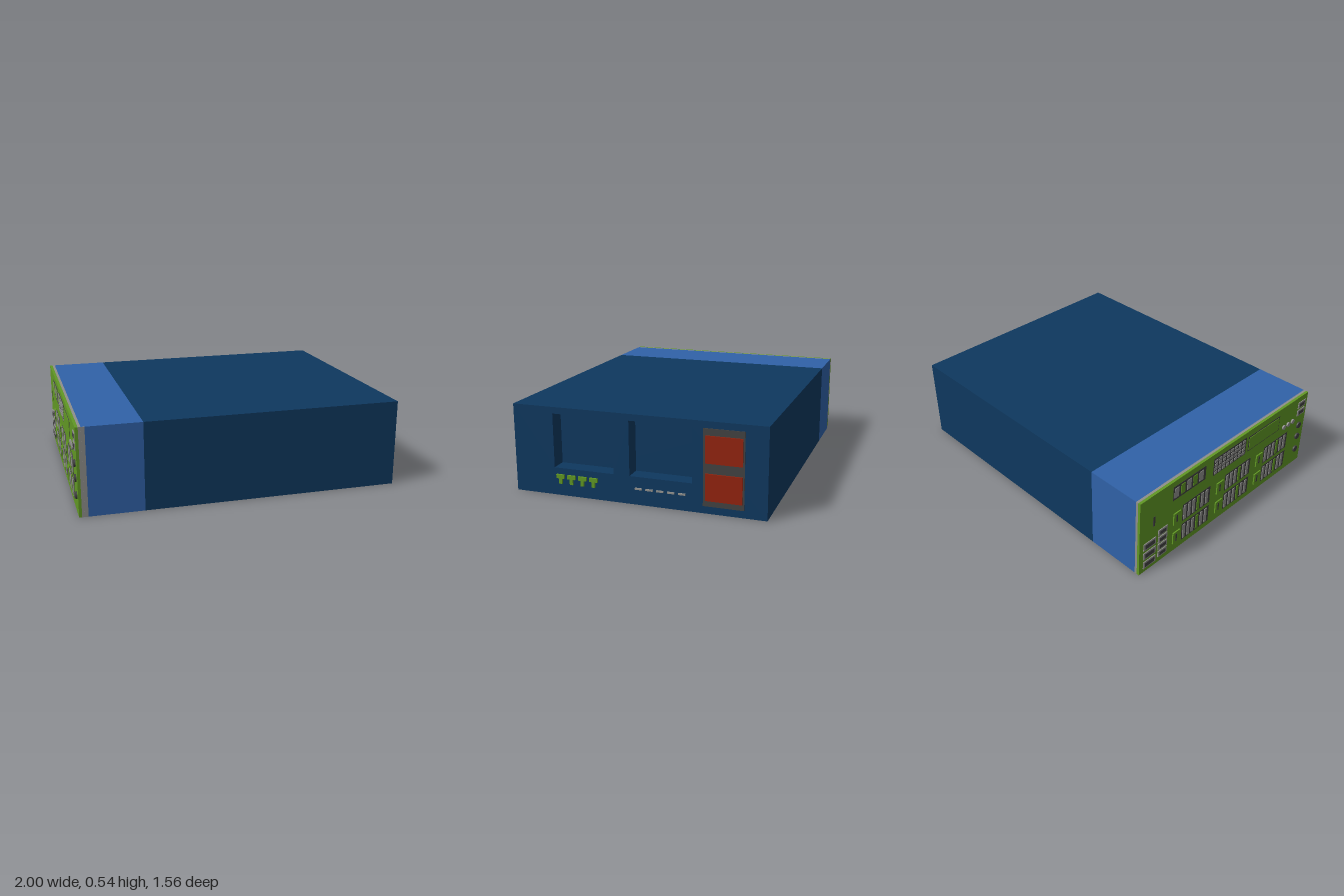
import * as THREE from 'three';

const mat = (name, color) => {
  const m = new THREE.MeshStandardMaterial({ color });
  m.name = name;
  return m;
};

export function createModel() {
  const root = new THREE.Group();
  root.name = 'serverUnit';
  const navy = mat('navyCase', 0x0e385f);
  const blue = mat('blueCase', 0x3062a8);
  const grey = mat('greyTrim', 0x8f8f8c);
  const green = mat('greenPanel', 0x619824);
  const dark = mat('darkGrey', 0x424242);
  const red = mat('redUnit', 0x93230e);
  const D = 0.777, H = 0.54;

  // Box given by its limits on each axis
  const box = (name, m, x0, x1, y0, y1, z0, z1, parent = root) => {
    const mesh = new THREE.Mesh(new THREE.BoxGeometry(x1 - x0, y1 - y0, z1 - z0), m);
    mesh.position.set((x0 + x1) / 2, (y0 + y1) / 2, (z0 + z1) / 2);
    mesh.name = name;
    parent.add(mesh);
    return mesh;
  };
  const group = (name) => {
    const g = new THREE.Group();
    g.name = name;
    root.add(g);
    return g;
  };

  // Case sections
  box('mainCase', navy, -0.605, 0.885, 0, H, -D, D);
  box('frontCase', blue, -0.957, -0.605, 0, H, -D, D);
  box('trimBand', grey, -0.973, -0.957, 0, H, -D, D);
  box('trimSideStrip', grey, -0.957, -0.936, 0, H, D - 0.002, D + 0.001);
  box('controlPanel', green, -0.99, -0.973, 0, H, -D, D);

  // Rear wall with two open fan pockets
  const wall = new THREE.Shape([
    new THREE.Vector2(-D, 0), new THREE.Vector2(D, 0),
    new THREE.Vector2(D, H), new THREE.Vector2(-D, H)]);
  for (const [z0, z1] of [[0.14, 0.52], [-0.34, 0.04]]) {
    wall.holes.push(new THREE.Path([
      new THREE.Vector2(-z1, 0.17), new THREE.Vector2(-z1, 0.5),
      new THREE.Vector2(-z0, 0.5), new THREE.Vector2(-z0, 0.17)]));
  }
  const rear = new THREE.Mesh(
    new THREE.ExtrudeGeometry(wall, { depth: 0.1, bevelEnabled: false }), navy);
  rear.rotation.y = Math.PI / 2;
  rear.position.x = 0.885;
  rear.name = 'rearWall';
  root.add(rear);

  // Power units
  const power = group('powerUnits');
  box('powerFrame', dark, 0.98, 0.99, 0.045, 0.5, -0.645, -0.405, power);
  for (const y of [0.08, 0.3]) box('powerModule', red, 0.985, 0.998, y, y + 0.16, -0.635, -0.42, power);

  // T-shaped rear latches and slots
  const rearBits = group('rearConnectors');
  for (let i = 0; i < 4; i++) {
    const z = 0.48 - i * 0.071;
    box('latchHead', green, 0.98, 0.997, 0.108, 0.132, z - 0.026, z + 0.026, rearBits);
    box('latchStem', green, 0.98, 0.997, 0.075, 0.108, z - 0.01, z + 0.01, rearBits);
  }
  for (let i = 0; i < 5; i++) {
    const z = -0.016 - i * 0.066;
    box('rearSlot', grey, 0.98, 0.994, 0.094, 0.104, z - 0.022, z + 0.022, rearBits);
  }

  // Raised detail on the control panel
  const X = -0.988;
  const plate = (name, m, y0, y1, z0, z1, parent, out = 0.006) =>
    box(name, m, X - out, X, y0, y1, z0, z1, parent);

  // Six card modules: a green handle beside a row of grey fins
  const cards = group('cardModules');
  for (const y of [0.19, 0.04]) {
    for (const z of [-0.52, -0.135, 0.25]) {
      plate('cardBezel', dark, y, y + 0.125, z + 0.1, z + 0.345, cards, 0.003);
      plate('cardHandle', green, y + 0.02, y + 0.105, z + 0.02, z + 0.08, cards, 0.01);
      plate('cardHandleGap', dark, y + 0.035, y + 0.09, z + 0.04, z + 0.052, cards, 0.011);
      for (let i = 0; i < 6; i++) {
        const f = z + 0.108 + i * 0.039;
        plate('cardFin', i === 3 ? green : grey, y + 0.01, y + 0.115, f, f + 0.02, cards, 0.007);
      }
    }
  }

  // Upper row: display, grille and framed bay
  const upper = group('upperRow');
  plate('displayFrame', dark, 0.4, 0.5, -0.51, -0.23, upper, 0.003);
  for (let i = 0; i < 5; i++) {
    const z = -0.5 + i * 0.053;
    plate('displayKey', i % 2 ? green : grey, 0.415, 0.485, z, z + 0.035, upper);
  }
  plate('grilleFrame', dark, 0.38, 0.505, -0.16, 0.145, upper, 0.003);
  for (let r = 0; r < 4; r++) {
    for (let c = 0; c < 8; c++) {
      const y = 0.388 + r * 0.029, z = -0.151 + c * 0.037;
      plate('grilleCell', grey, y, y + 0.019, z, z + 0.025, upper);
    }
  }
  plate('bayOutline', dark, 0.385, 0.495, 0.168, 0.483, upper, 0.003);
  plate('bayDoor', green, 0.393, 0.487, 0.176, 0.475, upper);

  // Round buttons
  const button = (y, z, r, m) => {
    const b = new THREE.Mesh(new THREE.CylinderGeometry(r, r, 0.012, 16), m);
    b.rotation.z = Math.PI / 2;
    b.position.set(-0.994, y, z);
    b.name = 'button';
    root.add(b);
  };
  for (const z of [0.54, 0.587, 0.635]) button(0.38, z, 0.016, grey);
  for (const y of [0.31, 0.22, 0.115]) button(y, 0.715, 0.022, dark);

  // Ports at both ends of the panel
  const ports = group('ports');
  const port = (y0, y1, z0, z1) => {
    plate('portShell', grey, y0, y1, z0, z1, ports, 0.007);
    plate('portSocket', dark, y0 + 0.01, y1 - 0.01, z0 + 0.012, z1 - 0.012, ports, 0.009);
  };
  for (const y of [0.395, 0.455]) port(y, y + 0.045, 0.68, 0.755);
  for (const y of [0.03, 0.1, 0.17]) port(y, y + 0.05, -0.745, -0.645);
  for (const y of [0.04, 0.095, 0.15, 0.205]) port(y, y + 0.045, -0.625, -0.55);
  plate('ventSlit', dark, 0.31, 0.38, -0.67, -0.655, ports, 0.004);

  return root;
}
